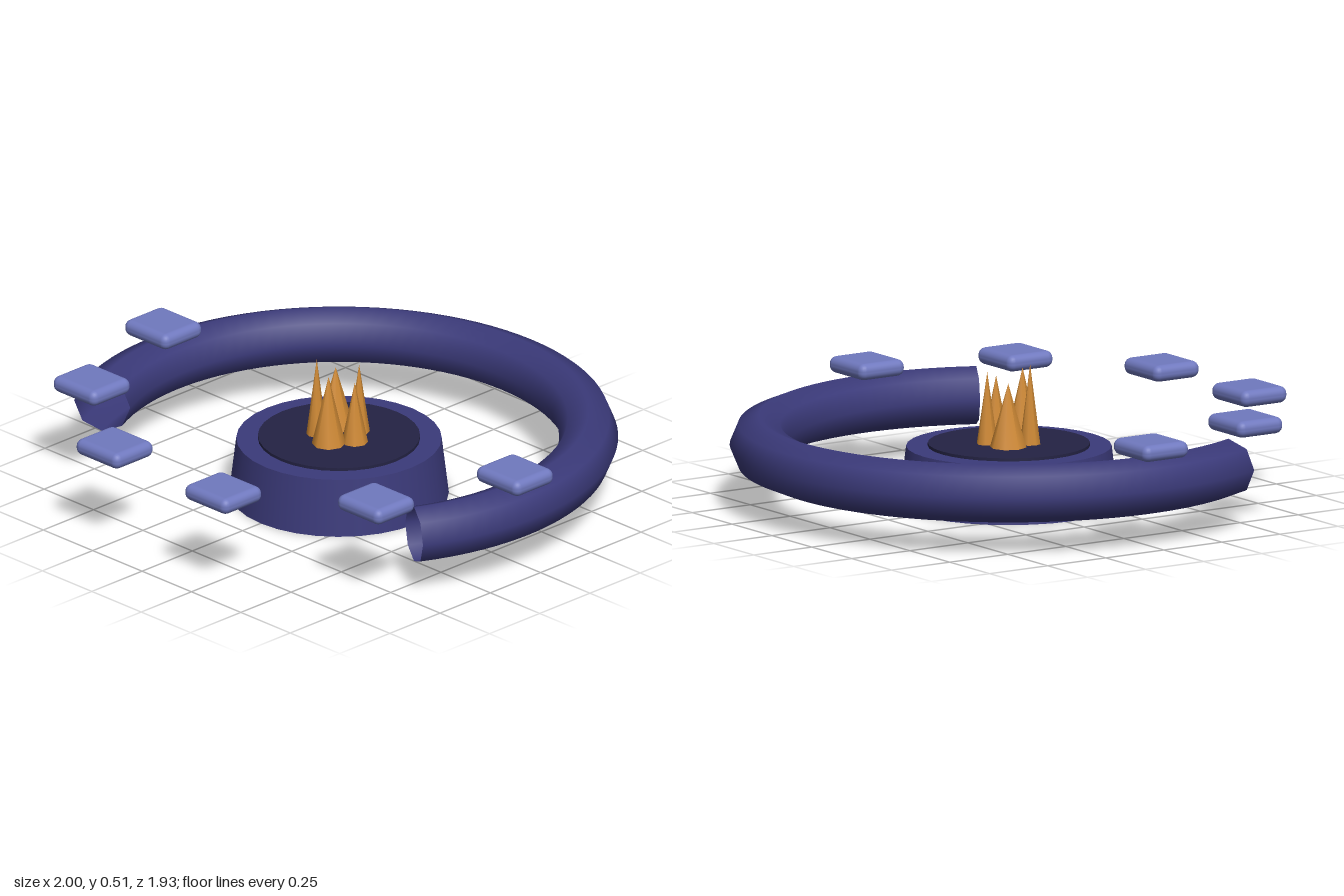
import * as THREE from 'three';
import { RoundedBoxGeometry } from 'three/addons/geometries/RoundedBoxGeometry.js';

const CENTER_Z = 0.02;
const RING_RADIUS = 0.886;

function material(name, color, side = THREE.FrontSide) {
  const m = new THREE.MeshStandardMaterial({ color, side });
  m.name = name;
  return m;
}

export function createModel() {
  const model = new THREE.Group();
  model.name = 'firePitLounge';

  const indigo = material('indigo', 0x3b3a7a, THREE.DoubleSide);
  const darkInk = material('dark ink', 0x242344);
  const periwinkle = material('periwinkle', 0x7079bf);
  const amber = material('amber', 0xd08a35);

  const add = (name, geometry, mat, x, y, z) => {
    const mesh = new THREE.Mesh(geometry, mat);
    mesh.name = name;
    mesh.position.set(x, y, z + CENTER_Z);
    model.add(mesh);
    return mesh;
  };

  // Open horseshoe bench, gap facing the front
  const arc = Math.PI * 1.3;
  const bench = new THREE.TorusGeometry(RING_RADIUS, 0.105, 8, 64, arc);
  bench.rotateZ(Math.PI / 2 - arc / 2);
  bench.rotateX(-Math.PI / 2);
  add('ringBench', bench, indigo, 0, 0.215, 0);

  // Tapered fire bowl with a dark ember bed
  add('fireBowl', new THREE.CylinderGeometry(0.365, 0.39, 0.21, 32), indigo, 0, 0.105, 0);
  add('emberBed', new THREE.CylinderGeometry(0.288, 0.288, 0.02, 32), darkInk, 0, 0.211, 0);

  // Five flames in a small circle
  const flameRadii = [0.047, 0.06, 0.037, 0.066, 0.038];
  flameRadii.forEach((radius, i) => {
    const a = (i / 5) * Math.PI * 2;
    const height = 0.23 + (i % 3) * 0.03;
    add('flame', new THREE.ConeGeometry(radius, height, 8), amber,
      Math.cos(a) * 0.08, 0.22 + height / 2, Math.sin(a) * 0.08);
  });

  // Six cushions spread over the front half circle
  const cushion = new RoundedBoxGeometry(0.218, 0.06, 0.194, 3, 0.027);
  for (let i = 0; i < 6; i++) {
    const a = (i / 5) * Math.PI;
    add('cushion', cushion, periwinkle,
      Math.cos(a) * 0.89, 0.35, Math.sin(a) * 0.89);
  }

  return model;
}
